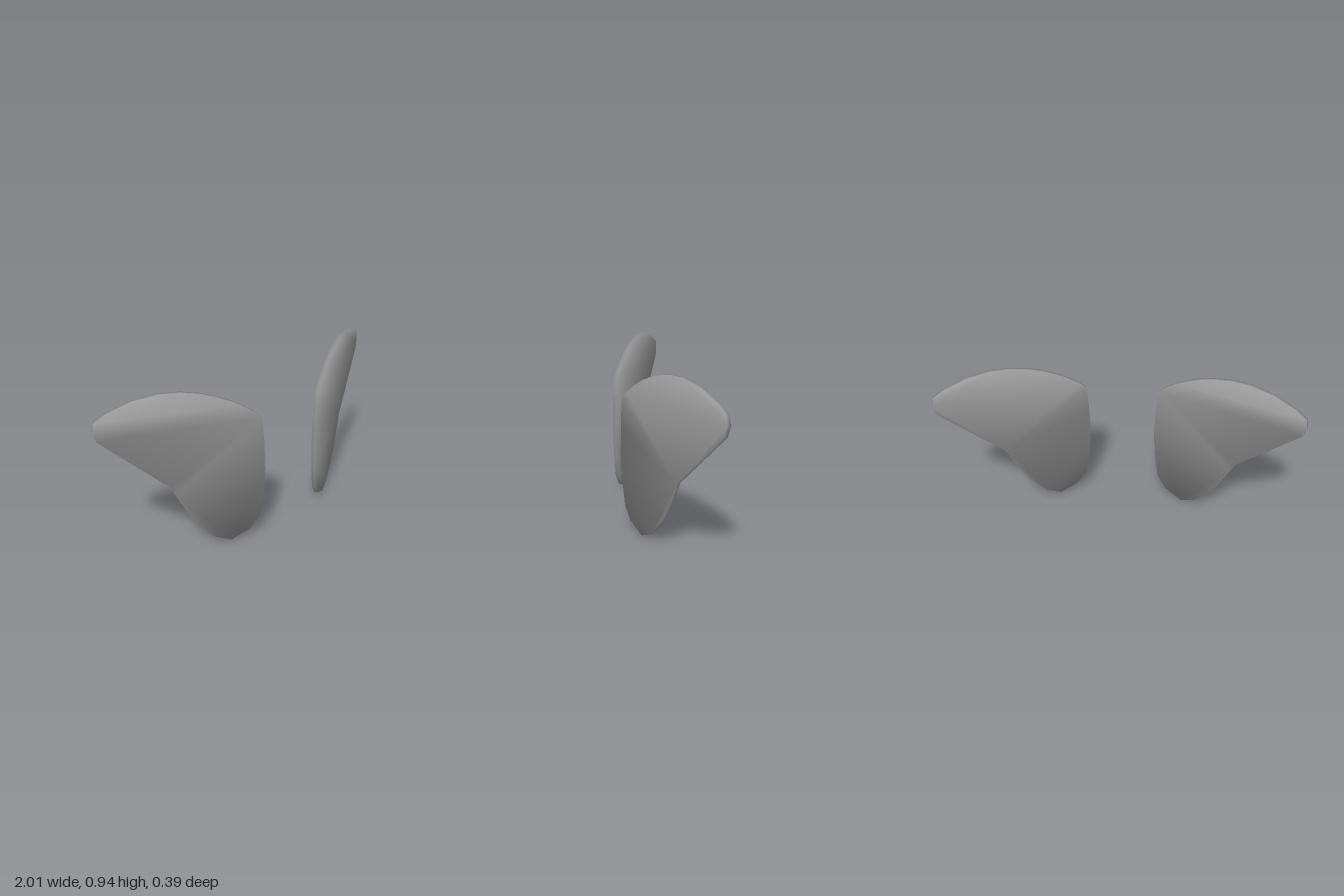
import * as THREE from 'three';

// Left wing outline (x, y), from the inner top corner over the tip and down to the foot
const OUTLINE = [
  [0.21, 0.73], [0.25, 0.77], [0.32, 0.82], [0.36, 0.845], [0.44, 0.885], [0.51, 0.91],
  [0.6, 0.93], [0.7, 0.935], [0.82, 0.915], [0.94, 0.865], [0.99, 0.83], [1, 0.78],
  [0.985, 0.725], [0.67, 0.4], [0.65, 0.35], [0.59, 0.22], [0.55, 0.15], [0.46, 0.04],
  [0.38, 0], [0.28, 0.05], [0.23, 0.12], [0.205, 0.27], [0.195, 0.42], [0.2, 0.58],
];
const WAIST = 13; // index of the notch between upper and lower lobe
const ANGLE = THREE.MathUtils.degToRad(25);
const CENTRE = 0.6;
const HALF_THICKNESS = 0.01;

// Thin plate whose rim normals lean outward, so the flat faces shade as if softly swollen
function wingGeometry(side) {
  const n = OUTLINE.length;
  const points = OUTLINE.map(([x, y]) =>
    new THREE.Vector2(side * (x - CENTRE) / Math.cos(ANGLE), y));
  const positions = [], normals = [], index = [];
  const edgeNormal = (a, b) =>
    new THREE.Vector2(-side * (b.y - a.y), side * (b.x - a.x)).normalize();

  points.forEach((p, i) => {
    const out = edgeNormal(points[(i + n - 1) % n], p)
      .add(edgeNormal(p, points[(i + 1) % n])).normalize();
    for (const face of [1, -1]) {
      const normal = new THREE.Vector3(out.x, out.y, face).normalize();
      positions.push(p.x, p.y, face * HALF_THICKNESS);
      normals.push(...normal.toArray());
    }
  });
  const triangle = (a, b, c) => index.push(...(side > 0 ? [a, c, b] : [a, b, c]));

  // Front and back faces: upper and lower lobes meet along a line to the waist
  const ids = points.map((_, i) => i);
  for (const lobe of [ids.slice(0, WAIST + 1), [0, ...ids.slice(WAIST)]]) {
    const loop = side > 0 ? lobe.reverse() : lobe;
    for (const tri of THREE.ShapeUtils.triangulateShape(loop.map((i) => points[i]), [])) {
      const [a, b, c] = tri.map((k) => 2 * loop[k]);
      index.push(a, b, c, a + 1, c + 1, b + 1);
    }
  }

  // Rim
  for (let i = 0; i < n; i++) {
    const a = 2 * i, b = 2 * ((i + 1) % n);
    triangle(a, a + 1, b);
    triangle(b, a + 1, b + 1);
  }

  const geometry = new THREE.BufferGeometry();
  geometry.setAttribute('position', new THREE.Float32BufferAttribute(positions, 3));
  geometry.setAttribute('normal', new THREE.Float32BufferAttribute(normals, 3));
  geometry.setIndex(index);
  return geometry.rotateY(side * ANGLE).translate(side * CENTRE, 0, 0);
}

export function createModel() {
  const group = new THREE.Group();
  group.name = 'wings';
  const material = new THREE.MeshStandardMaterial({ color: 0x999999 });
  for (const [name, side] of [['leftWing', 1], ['rightWing', -1]]) {
    const wing = new THREE.Mesh(wingGeometry(side), material);
    wing.name = name;
    group.add(wing);
  }
  return group;
}
